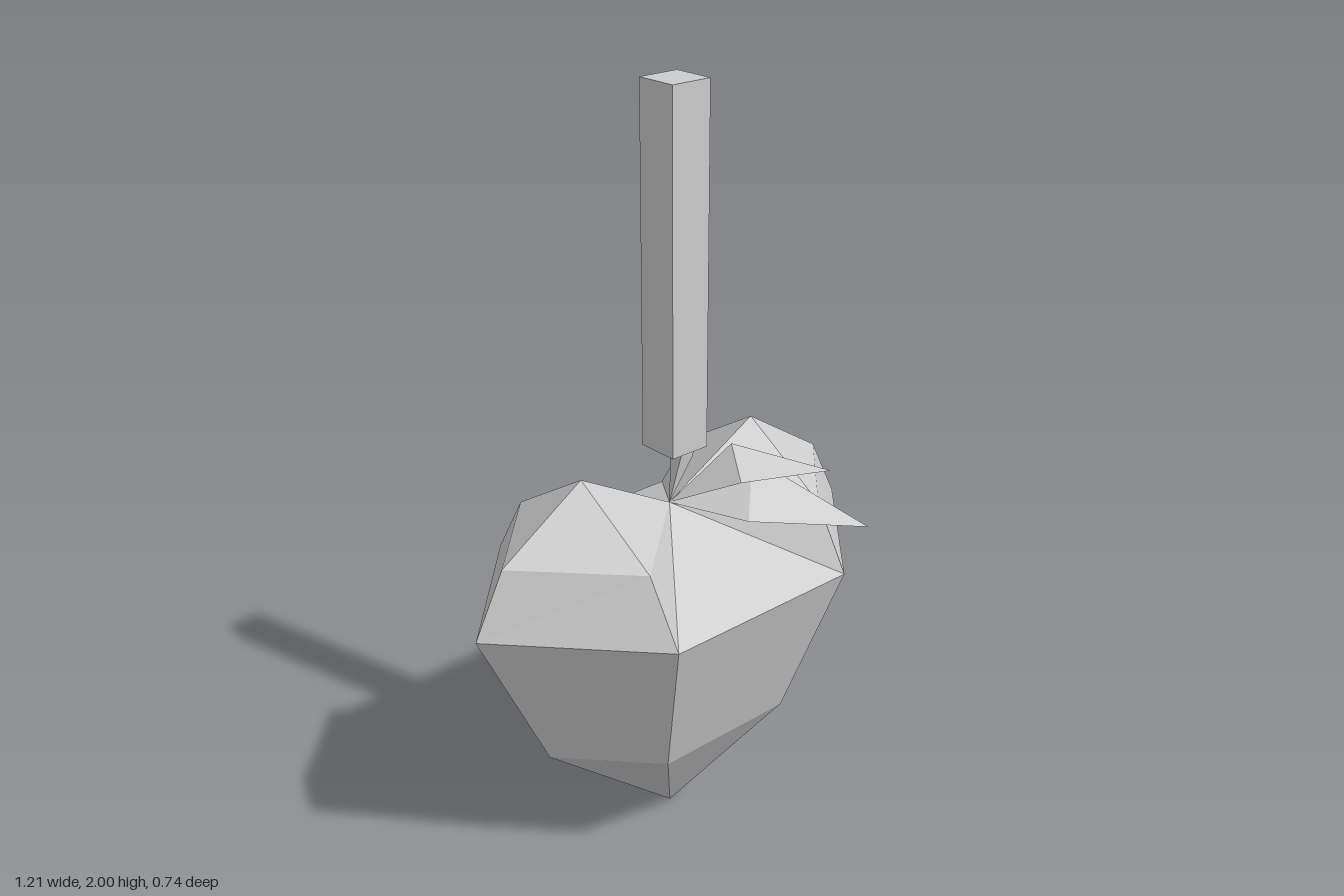
import * as THREE from 'three';

const grey = new THREE.MeshStandardMaterial({ color: 0xcccccc, flatShading: true, side: THREE.DoubleSide });
grey.name = 'pale grey';

// Mesh from polygons given as corner lists, fanned into flat triangles
function facets(name, polygons) {
  const pos = [];
  for (const p of polygons)
    for (let i = 1; i < p.length - 1; i++) pos.push(...p[0], ...p[i], ...p[i + 1]);
  const geo = new THREE.BufferGeometry();
  geo.setAttribute('position', new THREE.Float32BufferAttribute(pos, 3));
  geo.computeVertexNormals();
  const mesh = new THREE.Mesh(geo, grey);
  mesh.name = name;
  return mesh;
}

// Heart: one faceted quarter mirrored across x and z
function heart() {
  const tip = [0, 0.005, 0], dip = [0, 0.935, 0], peak = [0.28, 1.09, 0];
  const lowMid = [0, 0.345, 0.22], lowCorner = [0.2, 0.345, 0.22], lowSide = [0.405, 0.345, 0];
  const mid = [0, 0.77, 0.35], corner = [0.28, 0.77, 0.35], side = [0.605, 0.77, 0];
  const shoulder = [0.28, 0.935, 0.25], shoulderSide = [0.52, 0.935, 0];
  const quarter = [
    [tip, lowCorner, lowMid], [tip, lowSide, lowCorner],
    [lowMid, lowCorner, corner, mid], [lowCorner, lowSide, side, corner],
    [corner, side, shoulderSide, shoulder], [shoulder, shoulderSide, peak],
    [dip, mid, corner], [dip, corner, shoulder], [dip, shoulder, peak],
  ];
  const all = [];
  for (const sx of [1, -1])
    for (const sz of [1, -1])
      for (const poly of quarter) {
        const p = poly.map(([x, y, z]) => [x * sx, y, z * sz - 0.02]);
        all.push(sx * sz > 0 ? p : p.reverse());
      }
  return facets('heartBody', all);
}

export function createModel() {
  const group = new THREE.Group();
  group.name = 'heartOnBar';
  group.add(heart());

  // Square bar above the heart
  const bar = new THREE.Mesh(new THREE.BoxGeometry(0.112, 0.9, 0.112), grey);
  bar.name = 'bar';
  bar.position.set(0, 1.55, 0);
  group.add(bar);

  // Stem flaring out from the dip to a small slanted end
  const root = [0, 0.935, -0.02];
  const end = [[0.05, 1.142, 0.008], [0.08, 1.13, 0.008], [0.08, 1.13, -0.048], [0.05, 1.142, -0.048]];
  const waist = [[0.02, 1.06, 0], [0.058, 1.05, 0], [0.058, 1.05, -0.04], [0.02, 1.06, -0.04]];
  const stem = [end];
  for (let i = 0; i < 4; i++) {
    const j = (i + 1) % 4;
    stem.push([root, waist[j], waist[i]], [waist[i], waist[j], end[j], end[i]]);
  }
  group.add(facets('stem', stem));

  // Two folded leaves: root, two side corners, tip
  const leaf = (name, a, b, tip) => group.add(facets(name, [[root, a, b], [a, tip, b]]));
  leaf('lowerLeaf', [0.05, 0.955, 0.215], [0.2, 1.03, 0.07], [0.32, 0.905, 0.365]);
  leaf('upperLeaf', [0.07, 1.035, 0.165], [0.15, 1.075, 0.045], [0.315, 1.015, 0.235]);
  return group;
}
